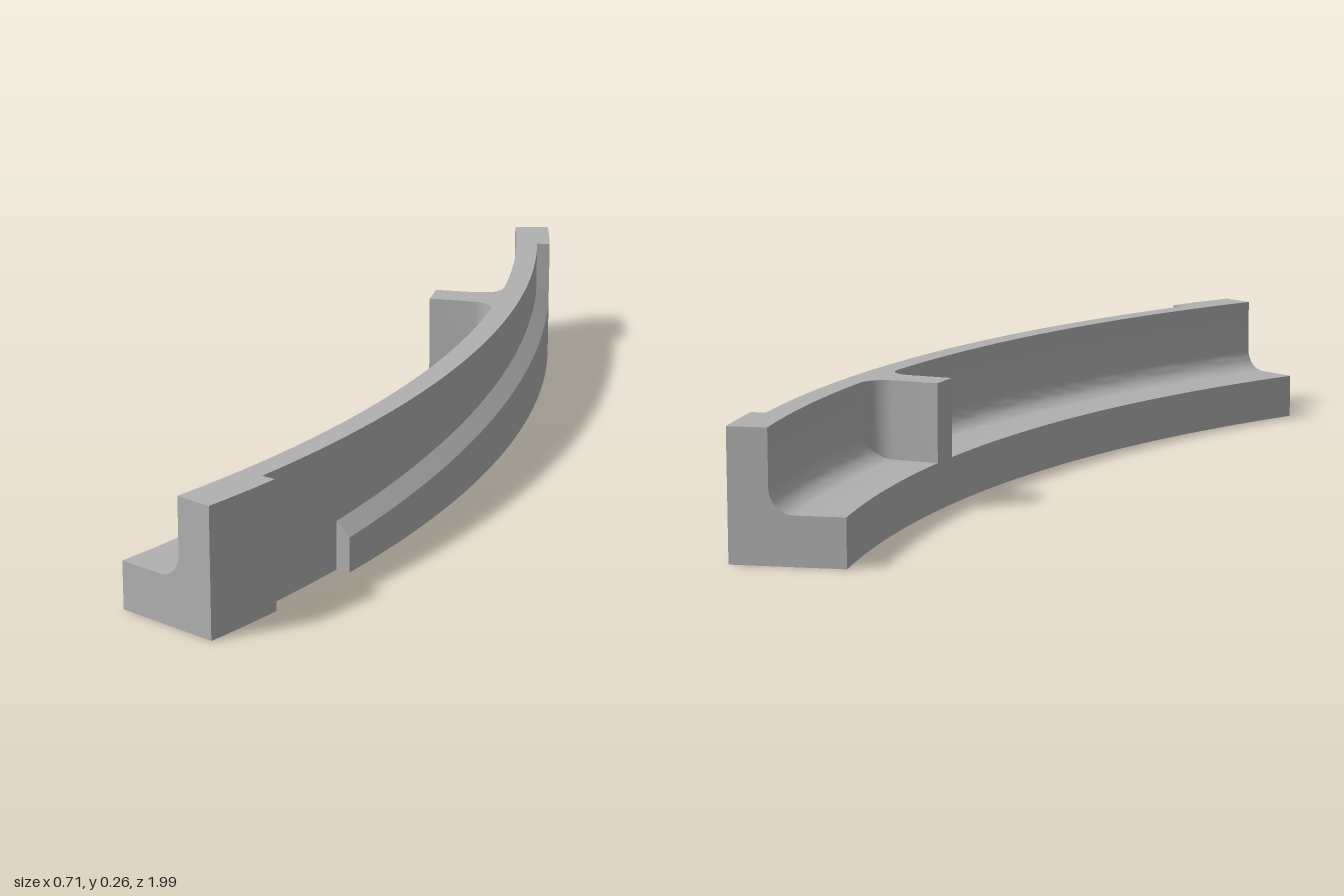
import * as THREE from 'three';
import { toCreasedNormals } from 'three/addons/utils/BufferGeometryUtils.js';

const CX = -2.595, CZ = 0.686;                 // centre of the arc
const R_IN = 2.726, R_WALL = 2.874, R_GROOVE = 2.923, R_OUT = 2.953;
const FLOOR = 0.098, HEIGHT = 0.262, FILLET = 0.05;
const rad = THREE.MathUtils.degToRad;
const START = rad(-5.9), END = rad(34.8);      // front and back ends
const NOTCH = rad(-2.4), LEDGE = rad(2.15), RAMP_END = rad(26.7), LEDGE_END = rad(31.8);
const RIB_A = rad(21.75), RIB_B = rad(23.25);

// radius of the upright wall's inner face, rounded where it meets the rib
function wallRadius(a) {
  if (a > RIB_A && a < RIB_B) return R_IN;
  const d = (a <= RIB_A ? RIB_A - a : a - RIB_B) * R_WALL;
  if (d >= FILLET) return R_WALL;
  return R_WALL - FILLET + Math.sqrt(Math.max(0, FILLET ** 2 - (FILLET - d) ** 2));
}

// closed cross-section [radius, height] at an angle; "probe" picks the side of a step
function section(a, probe) {
  const wall = probe > RIB_A && probe < RIB_B ? R_IN : wallRadius(a);
  const pts = [[R_IN, 0], [R_IN, FLOOR]];
  const r0 = R_WALL - FILLET;
  for (let i = 0; i <= 8; i++) {
    const t = (i / 8) * Math.asin(THREE.MathUtils.clamp((wall - r0) / FILLET, 0, 1));
    pts.push([Math.min(wall, r0 + FILLET * Math.sin(t)), FLOOR + FILLET * (1 - Math.cos(t))]);
  }
  const grooved = probe > NOTCH && probe < LEDGE_END;
  const outer = grooved ? R_GROOVE : R_OUT;
  const lower = grooved && probe < LEDGE ? R_GROOVE : R_OUT;
  const k = THREE.MathUtils.clamp((a - LEDGE) / (RAMP_END - LEDGE), 0, 1);
  const ledge = 0.1 + 0.062 * k;
  pts.push([wall, HEIGHT], [outer, HEIGHT], [outer, ledge], [lower, ledge - 0.028], [lower, 0]);
  return pts;
}

function buildSegment() {
  // angles: even steps, rounded pocket corners, and both sides of each step
  const stops = [];
  const N = 56;
  for (let i = 0; i <= N; i++) stops.push(START + (END - START) * i / N);
  for (let i = 1; i <= 8; i++) {
    const d = FILLET * (1 - Math.cos(i / 8 * Math.PI / 2)) / R_WALL;
    stops.push(RIB_A - d, RIB_B + d);
  }
  stops.push(RAMP_END);
  const rings = stops.map(a => ({ a, probe: a }));
  for (const a of [NOTCH, LEDGE, LEDGE_END, RIB_A, RIB_B])
    rings.push({ a, probe: a - 1e-6 }, { a, probe: a + 1e-6 });
  rings.sort((p, q) => p.probe - q.probe);

  const place = (a, [r, y]) => new THREE.Vector3(CX + r * Math.cos(a), y, CZ - r * Math.sin(a));
  const loops = rings.map(({ a, probe }) => section(a, probe).map(p => place(a, p)));

  const pos = [];
  const ab = new THREE.Vector3(), ac = new THREE.Vector3();
  const tri = (a, b, c) => {
    ab.subVectors(b, a);
    ac.subVectors(c, a);
    if (ab.cross(ac).length() > 1e-9) pos.push(...a, ...b, ...c);
  };
  for (let i = 0; i < loops.length - 1; i++) {
    const A = loops[i], B = loops[i + 1];
    for (let j = 0; j < A.length; j++) {
      const k = (j + 1) % A.length;
      tri(A[j], A[k], B[k]);
      tri(A[j], B[k], B[j]);
    }
  }
  // flat end caps
  const cap = (loop, a, sign) => {
    const flat = section(a, a).map(p => new THREE.Vector2(...p));
    for (const [i, j, k] of THREE.ShapeUtils.triangulateShape(flat, [])) {
      const area = THREE.ShapeUtils.area([flat[i], flat[j], flat[k]]);
      if (area * sign > 0) tri(loop[i], loop[j], loop[k]);
      else tri(loop[i], loop[k], loop[j]);
    }
  };
  cap(loops[0], START, 1);
  cap(loops[loops.length - 1], END, -1);

  const geo = new THREE.BufferGeometry();
  geo.setAttribute('position', new THREE.Float32BufferAttribute(pos, 3));
  return toCreasedNormals(geo, rad(25));
}

export function createModel() {
  const group = new THREE.Group();
  group.name = 'curvedRailSegment';
  const grey = new THREE.MeshStandardMaterial({ color: 0xb0b0b0 });
  grey.name = 'plain grey';
  const body = new THREE.Mesh(buildSegment(), grey);
  body.name = 'ringSegment';
  group.add(body);
  return group;
}
